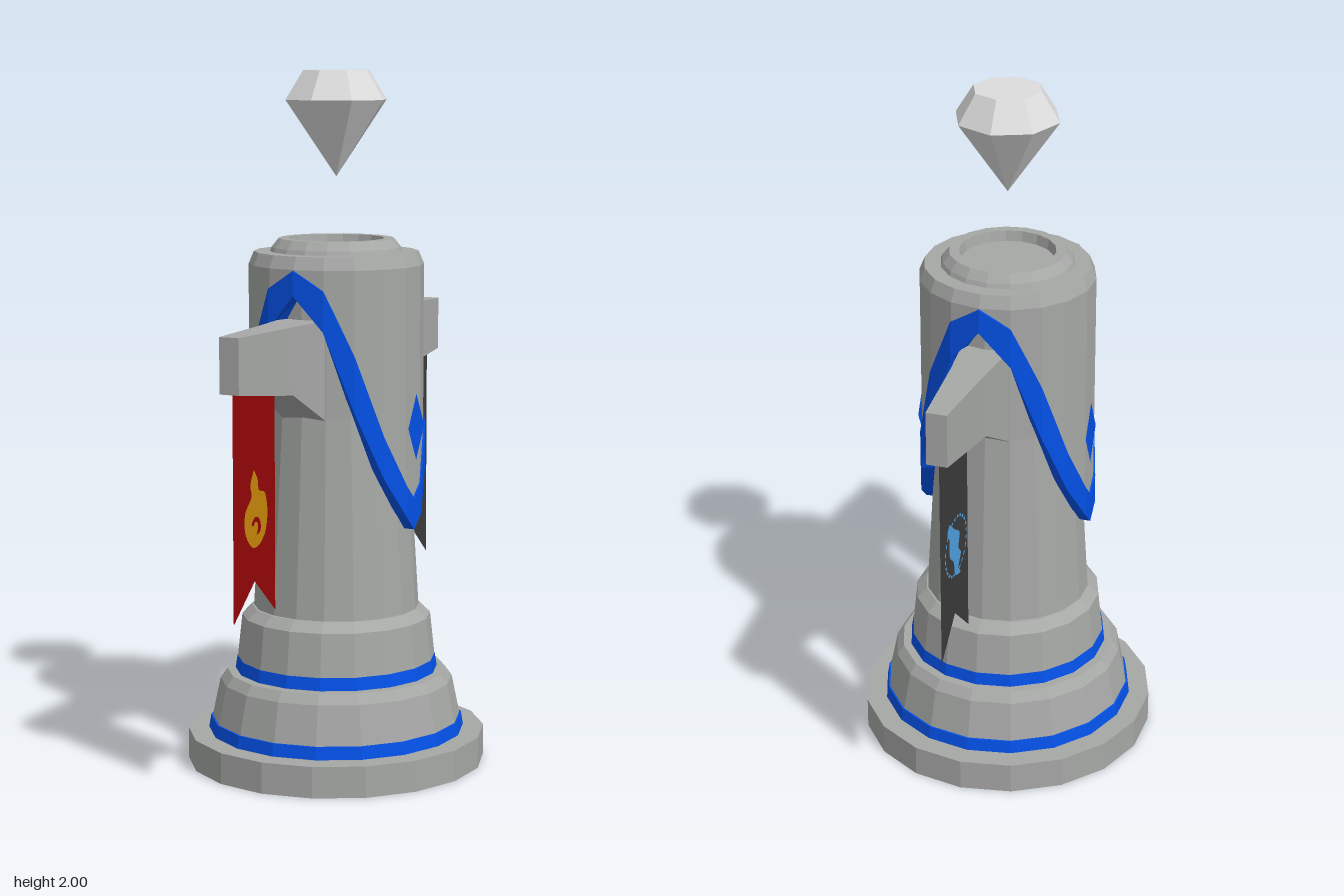
import * as THREE from 'three';
import { mergeGeometries } from 'three/addons/utils/BufferGeometryUtils.js';

const mat = (name, color, extra = {}) => {
  const m = new THREE.MeshStandardMaterial({ color, flatShading: true, ...extra });
  m.name = name;
  return m;
};
const both = { side: THREE.DoubleSide };
const SIDES = 18;
const v2 = ([x, y]) => new THREE.Vector2(x, y);

const lathe = (pts, sides = SIDES) => new THREE.LatheGeometry(pts.map(v2), sides);

// Joins equal-length cross-sections with quads; each section is an array of [x, y, z].
function loft(sections, closed) {
  const n = sections[0].length, pos = sections.flat(2), index = [];
  const last = closed ? n : n - 1;
  for (let s = 0; s < sections.length - 1; s++) {
    for (let i = 0; i < last; i++) {
      const a = s * n + i, b = s * n + (i + 1) % n;
      index.push(a, a + n, b, b, a + n, b + n);
    }
  }
  const g = new THREE.BufferGeometry();
  g.setAttribute('position', new THREE.Float32BufferAttribute(pos, 3));
  g.setIndex(index);
  const flat = g.toNonIndexed();
  flat.computeVertexNormals();
  return flat;
}

// Hem heights of the mantle at 0, 20, 40, 60, 80 and 90 degrees from the front.
const ANGLES = [0, 20, 40, 60, 80, 90];
const LOWER = [1.38, 1.28, 1.05, 0.86, 0.74, 0.70];
const UPPER = [1.45, 1.395, 1.21, 0.98, 0.83, 0.79];
const columnRadius = (y) => (y < 1.03 ? 0.24 - (y - 0.455) * 0.061 : 0.205);

// Sweeps a profile round the tower; profile(lower, upper) gives [radius, height] points.
function sweepHem(profile) {
  const stops = [];
  for (let i = 0; i < 6; i++) stops.push([ANGLES[i], i]);
  for (let i = 4; i >= 0; i--) stops.push([180 - ANGLES[i], i]);
  for (let i = 1; i < 6; i++) stops.push([180 + ANGLES[i], i]);
  for (let i = 4; i >= 0; i--) stops.push([360 - ANGLES[i], i]);
  const rings = stops.map(([deg, i]) => {
    const t = THREE.MathUtils.degToRad(deg);
    const k = i === 5 ? Math.cos(Math.PI / SIDES) : 1;
    return profile(LOWER[i], UPPER[i]).map(([r, y]) => [r * k * Math.sin(t), y, r * k * Math.cos(t)]);
  });
  return loft(rings, false);
}

// Flat shape drawn as (z, y), standing in the plane at the given x.
function flatPlate(points, x, hole) {
  const shape = new THREE.Shape(points);
  if (hole) shape.holes.push(new THREE.Path(hole));
  return new THREE.ShapeGeometry(shape).rotateY(-Math.PI / 2).translate(x, 0, 0);
}
const smoothLoop = (pts) => new THREE.SplineCurve([...pts, pts[0]].map(v2)).getPoints(56).slice(0, -1);

export function createModel() {
  const group = new THREE.Group();
  const stone = mat('stone grey', 0xa6a8a6, both);
  const crystal = mat('pale crystal', 0xdcdcdc);
  const blue = mat('royal blue', 0x0351e8, both);
  const red = mat('banner red', 0x920508, both);
  const dark = mat('banner charcoal', 0x3a3a3a, both);
  const gold = mat('flame gold', 0xc48606, both);
  const sky = mat('sky blue', 0x4f9fe0, both);
  const add = (name, geometry, material) => {
    const m = new THREE.Mesh(geometry, material);
    m.name = name;
    group.add(m);
    return m;
  };

  // Stepped pedestal, slightly narrower across x
  add('pedestal', lathe([
    [0, 0], [0.442, 0], [0.442, 0.09], [0.378, 0.09], [0.346, 0.24], [0.325, 0.268],
    [0.298, 0.268], [0.28, 0.43], [0.25, 0.457], [0.2, 0.457],
  ]), stone).scale.x = 0.972;
  for (const [name, r, y] of [['lowerBand', 0.381, 0.092], ['upperBand', 0.301, 0.27]]) {
    add(name, lathe([[r - 0.02, y], [r, y], [r - 0.006, y + 0.036], [r - 0.025, y + 0.036]]), blue).scale.x = 0.972;
  }

  // Tapered column
  add('column', lathe([[0.24, 0.455], [0.205, 1.03], [0.205, 1.46]]), stone);

  // Mantle hanging low at both sides, with its thick blue hem
  add('mantle', sweepHem((lo, up) => [[0.251, up - 0.01], [0.251, 1.452]]), stone);
  add('mantleTrim', sweepHem((lo, up) => [
    [columnRadius(lo) - 0.01, lo], [0.257, lo], [0.257, up], [0.245, up],
  ]), blue);

  // Bevelled top with a raised, hollow rim
  add('towerTop', lathe([
    [0.251, 1.452], [0.236, 1.488], [0.19, 1.488], [0.185, 1.5], [0.165, 1.525],
    [0.137, 1.525], [0.132, 1.495], [0, 1.495],
  ]), stone);

  // Floating gem
  add('gem', lathe([[0, 1.7], [0.15, 1.917], [0.098, 2], [0, 2]], 8), crystal);

  // Diamond on each side of the mantle
  const diamond = [[-0.01, 0.9], [0.04, 0.995], [-0.01, 1.09], [-0.06, 0.995]].map(v2);
  for (const s of [-1, 1]) add('sideDiamond', flatPlate(diamond, s * 0.253), blue);

  // Arms tapering outward, front and back
  const section = ([z, w, y0, y1]) => [[-w, y0, z], [-w, y1, z], [w, y1, z], [w, y0, z]];
  const armStops = [[0.16, 0.07, 1.0, 1.31], [0.2, 0.068, 1.03, 1.308], [0.345, 0.051, 1.115, 1.305], [0.605, 0.03, 1.145, 1.3]];
  const armGeometry = mergeGeometries([
    loft(armStops.map(section), true),
    new THREE.PlaneGeometry(0.06, 0.155).translate(0, 1.2225, 0.605).toNonIndexed(),
  ].map((g) => { g.deleteAttribute('uv'); return g; }));

  // Swallow-tailed banner below each arm
  const cloth = [[0.36, 1.16], [0.36, 0.51], [0.473, 0.612], [0.588, 0.51], [0.588, 1.16]];
  for (const [side, clothMat] of [[1, red], [-1, dark]]) {
    const name = side > 0 ? 'front' : 'back';
    add(name + 'Arm', armGeometry, stone).rotation.y = side > 0 ? 0 : Math.PI;
    add(name + 'Banner', flatPlate(cloth.map(([z, y]) => v2([z * side, y])), 0), clothMat);
  }

  // Emblems on both faces of each banner
  const flame = smoothLoop([
    [0.482, 0.925], [0.462, 0.895], [0.455, 0.865], [0.422, 0.852], [0.409, 0.80], [0.42, 0.745],
    [0.455, 0.712], [0.495, 0.712], [0.53, 0.755], [0.53, 0.81], [0.496, 0.85], [0.502, 0.885],
  ]);
  const curl = smoothLoop([
    [0.497, 0.775], [0.475, 0.793], [0.45, 0.78], [0.447, 0.752], [0.468, 0.742],
    [0.462, 0.757], [0.462, 0.772], [0.475, 0.779], [0.487, 0.768],
  ]);
  const wisp = smoothLoop([
    [-0.522, 0.922], [-0.54, 0.897], [-0.522, 0.87], [-0.522, 0.82], [-0.49, 0.785], [-0.478, 0.74],
    [-0.434, 0.727], [-0.452, 0.752], [-0.43, 0.785], [-0.45, 0.815], [-0.438, 0.855], [-0.478, 0.885],
  ]);
  const dashes = [];
  for (let i = 0; i < 24; i++) {
    dashes.push(new THREE.RingGeometry(0.083, 0.091, 2, 1, i * Math.PI / 12, 0.16));
  }
  const dashedRing = mergeGeometries(dashes).rotateY(-Math.PI / 2).translate(0, 0.828, -0.47);
  for (const x of [-0.004, 0.004]) {
    add('flameEmblem', flatPlate(flame, x, curl), gold);
    add('wispEmblem', flatPlate(wisp, x), sky);
    add('dashedRing', dashedRing, sky).position.x = x;
  }
  return group;
}
